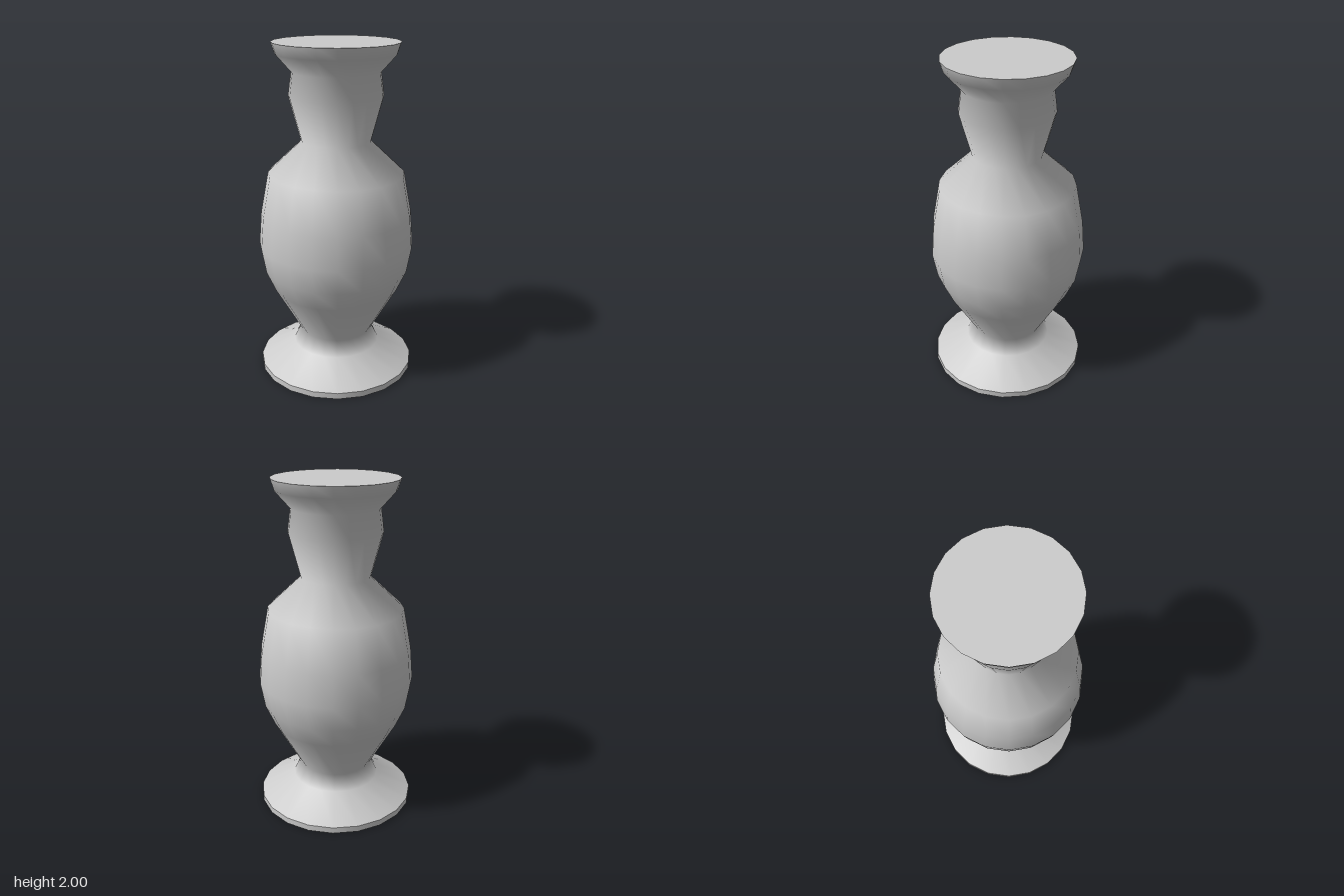
import * as THREE from 'three';

const SIDES = 20;

export function createModel() {
  const vase = new THREE.Group();
  vase.name = 'vase';
  const material = new THREE.MeshStandardMaterial({ color: 0xcccccc });

  // Revolve a profile of [radius, height] points, listed from bottom to top
  const turn = (name, profile) => {
    const points = profile.map(([r, y]) => new THREE.Vector2(r, y));
    const mesh = new THREE.Mesh(new THREE.LatheGeometry(points, SIDES), material);
    mesh.name = name;
    vase.add(mesh);
  };

  // Foot: flat underside and thin upright rim, kept apart for crisp edges
  turn('footUnderside', [[0, 0], [0.475, 0]]);
  turn('footRim', [[0.475, 0], [0.475, 0.037]]);

  // Foot slope, belly, neck and flared lip in one smooth sweep
  turn('body', [
    [0.475, 0.037], [0.265, 0.15], [0.22, 0.24],
    [0.383, 0.53], [0.44, 0.66], [0.466, 0.81], [0.45, 1.0], [0.402, 1.25],
    [0.204, 1.437], [0.274, 1.7], [0.256, 1.835],
    [0.345, 1.935], [0.366, 2],
  ]);

  // Flat closed top
  turn('topCap', [[0.366, 2], [0, 2]]);

  return vase;
}
